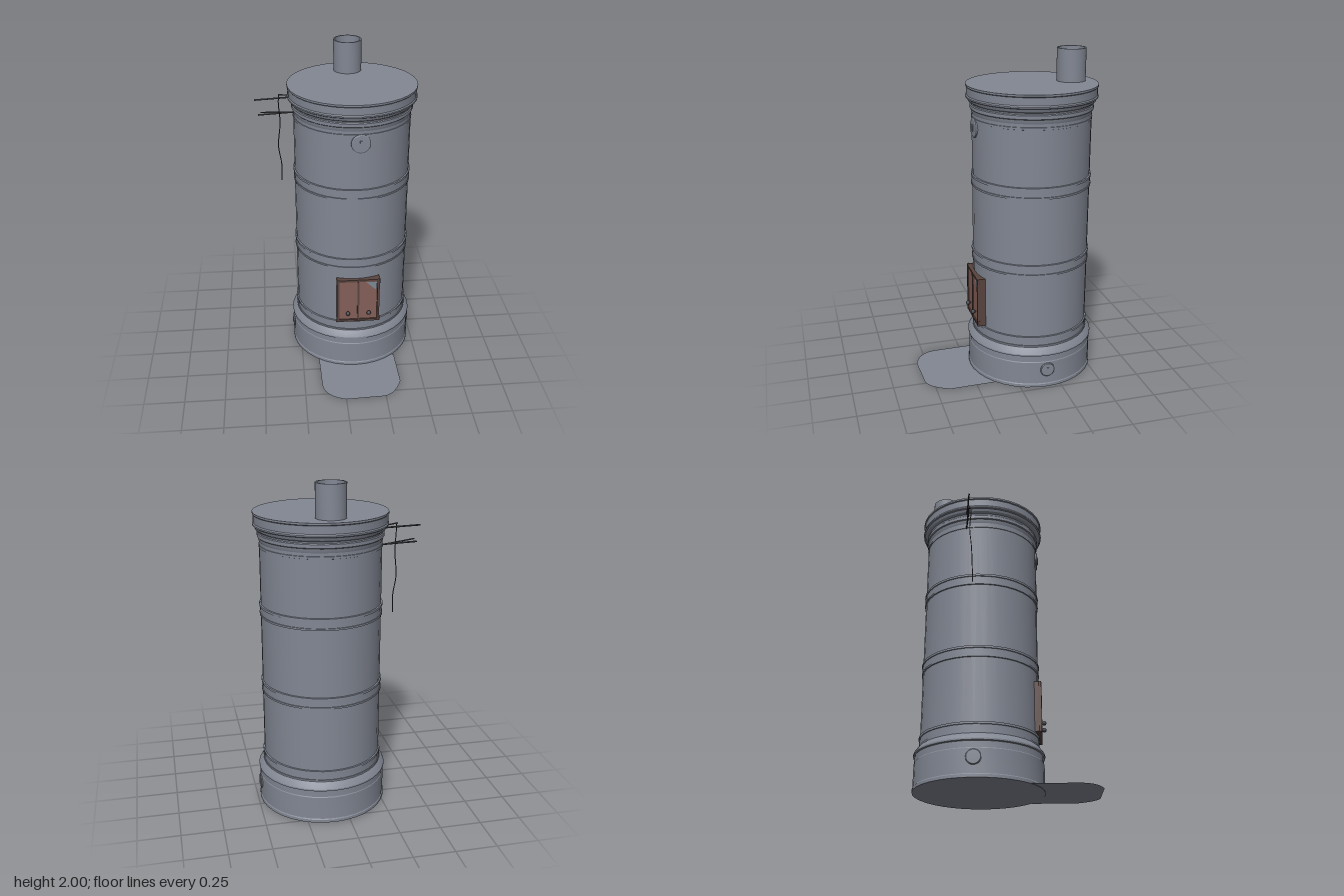
import * as THREE from 'three';
import { toCreasedNormals } from 'three/addons/utils/BufferGeometryUtils.js';

const CX = 0.093, CZ = -0.163; // axis of the stove

export function createModel() {
  const model = new THREE.Group();
  model.name = 'roundStove';
  const mat = (name, color, side = THREE.FrontSide) => {
    const m = new THREE.MeshStandardMaterial({ color, side });
    m.name = name;
    return m;
  };
  const iron = mat('greyIron', 0x828793);
  const sheet = mat('greySheet', 0x828793, THREE.DoubleSide);
  const rust = mat('rustyDoor', 0x855f58);
  const dark = mat('darkFrame', 0x59443f);
  const wire = mat('darkWire', 0x45454a);
  const worn = mat('wornMetal', 0x7d8896);

  const add = (parent, name, geo, m, x = 0, y = 0, z = 0) => {
    const mesh = new THREE.Mesh(geo, m);
    mesh.name = name;
    mesh.position.set(x, y, z);
    parent.add(mesh);
    return mesh;
  };
  const lathe = (pts, sides) => toCreasedNormals(
    new THREE.LatheGeometry(pts.map(p => new THREE.Vector2(p[0], p[1])), sides), 0.45);
  const box = (parent, name, w, h, d, m, x, y, z) =>
    add(parent, name, new THREE.BoxGeometry(w, h, d), m, x, y, z);

  // Plinth, drum and cornice, each a stepped profile
  add(model, 'plinth', lathe([
    [0, 0], [0.391, 0], [0.391, 0.018], [0.387, 0.024], [0.387, 0.165], [0.384, 0.17],
    [0.384, 0.208], [0.392, 0.212], [0.392, 0.222], [0.386, 0.232], [0.372, 0.25],
    [0.36, 0.262], [0.34, 0.262]], 36), iron, CX, 0, CZ);
  add(model, 'drum', lathe([[0.356, 0.25], [0.356, 1.66]], 36), iron, CX, 0, CZ);
  add(model, 'cornice', lathe([
    [0.35, 1.625], [0.358, 1.64], [0.361, 1.66], [0.367, 1.665], [0.367, 1.685], [0.362, 1.69],
    [0.364, 1.7], [0.378, 1.71], [0.384, 1.725], [0.392, 1.73], [0.392, 1.738],
    [0.387, 1.745], [0.387, 1.79], [0.392, 1.795], [0.392, 1.806], [0, 1.806]], 36),
    iron, CX, 0, CZ);

  // Raised bands around the drum
  const band = (y, h, out) => add(model, 'band', lathe([
    [0.35, y - h / 2], [0.356 + out, y - h / 3], [0.356 + out, y + h / 3], [0.35, y + h / 2]], 36),
    iron, CX, 0, CZ);
  for (const y of [0.29, 0.755, 1.23]) {
    band(y, 0.07, 0.003);
    band(y - 0.026, 0.016, 0.007);
    band(y + 0.03, 0.02, 0.008);
  }
  band(1.61, 0.02, 0.003);

  // Hollow chimney pipe
  add(model, 'chimneyPipe', lathe([
    [0.087, 1.8], [0.087, 2], [0.078, 2], [0.078, 1.81], [0, 1.808]], 28), iron, 0.087, 0, -0.408);

  // Round cleaning covers: one in front, one on each side of the plinth
  const cover = (angle, y, r, reach) => {
    const g = new THREE.Group();
    g.name = 'cleaningCover';
    const plate = lathe([[r, -0.03], [r, 0], [r * 0.9, 0.004], [0, 0.005]], 20);
    plate.rotateX(Math.PI / 2);
    add(g, 'coverPlate', plate, iron);
    box(g, 'coverGrip', r * 0.25, r * 0.7, 0.008, iron, 0, 0, 0.005);
    g.position.set(CX + Math.sin(angle) * reach, y, CZ + Math.cos(angle) * reach);
    g.rotation.y = angle;
    model.add(g);
  };
  cover(0.05, 1.56, 0.058, 0.36);
  cover(Math.PI / 2, 0.115, 0.045, 0.388);
  cover(-Math.PI / 2, 0.115, 0.045, 0.388);

  // Double fire door in a frame
  const door = new THREE.Group();
  door.name = 'fireDoor';
  door.position.set(0.105, 0.495, 0);
  model.add(door);
  box(door, 'doorBack', 0.262, 0.3, 0.05, dark, 0, 0, 0.175);
  for (const s of [-1, 1]) {
    box(door, 'frameSide', 0.014, 0.312, 0.052, dark, s * 0.127, 0, 0.188);
    box(door, 'frameRail', 0.268, 0.014, 0.052, dark, 0, s * 0.148, 0.188);
    box(door, 'doorLeaf', 0.112, 0.276, 0.016, rust, s * 0.062, 0, 0.2);
    add(door, 'knobStem', new THREE.CylinderGeometry(0.006, 0.006, 0.03, 8).rotateX(Math.PI / 2),
      dark, s * 0.066, -0.085, 0.218);
    add(door, 'knob', new THREE.SphereGeometry(0.014, 10, 8), wire, s * 0.066, -0.085, 0.226);
    for (const v of [-1, 1]) {
      add(door, 'hinge', new THREE.CylinderGeometry(0.008, 0.008, 0.035, 8), dark,
        s * 0.13, v * 0.14, 0.205);
    }
  }
  box(door, 'middleStrip', 0.012, 0.28, 0.02, dark, 0, 0, 0.204);
  const patch = new THREE.Shape([[0.05, 0.135], [0.116, 0.135], [0.116, 0.075], [0.09, 0.095]]
    .map(p => new THREE.Vector2(p[0], p[1])).reverse());
  add(door, 'wornCorner', new THREE.ShapeGeometry(patch), worn, 0, 0, 0.2095);

  // Floor plate before the fire door
  const s = new THREE.Shape();
  s.moveTo(-0.145, -0.14);
  s.lineTo(-0.14, -0.42);
  s.bezierCurveTo(-0.135, -0.5, -0.07, -0.545, 0, -0.562);
  s.lineTo(0.24, -0.552);
  s.bezierCurveTo(0.3, -0.54, 0.34, -0.47, 0.36, -0.415);
  s.lineTo(0.355, -0.14);
  add(model, 'floorPlate', new THREE.ShapeGeometry(s, 8).rotateX(-Math.PI / 2), sheet, 0, 0.002, 0);

  // Damper rods at the side, with a hanging cord
  const tube = (name, pts, r) => add(model, name, new THREE.TubeGeometry(
    new THREE.CatmullRomCurve3(pts.map(p => new THREE.Vector3(...p))), pts.length * 5, r, 6), wire);
  tube('upperRod', [[-0.24, 1.7, -0.236], [-0.495, 1.7, -0.197]], 0.005);
  tube('lowerRod', [[-0.24, 1.603, -0.236], [-0.475, 1.603, -0.2]], 0.005);
  tube('slantedRod', [[-0.24, 1.6, -0.236], [-0.46, 1.62, -0.198]], 0.004);
  tube('rodHook', [[-0.27, 1.712, -0.23], [-0.35, 1.722, -0.218]], 0.004);
  tube('cord', [[-0.345, 1.72, -0.22], [-0.35, 1.68, -0.2], [-0.343, 1.55, -0.205],
    [-0.358, 1.4, -0.19], [-0.342, 1.28, -0.185], [-0.345, 1.17, -0.18]], 0.003);

  return model;
}
